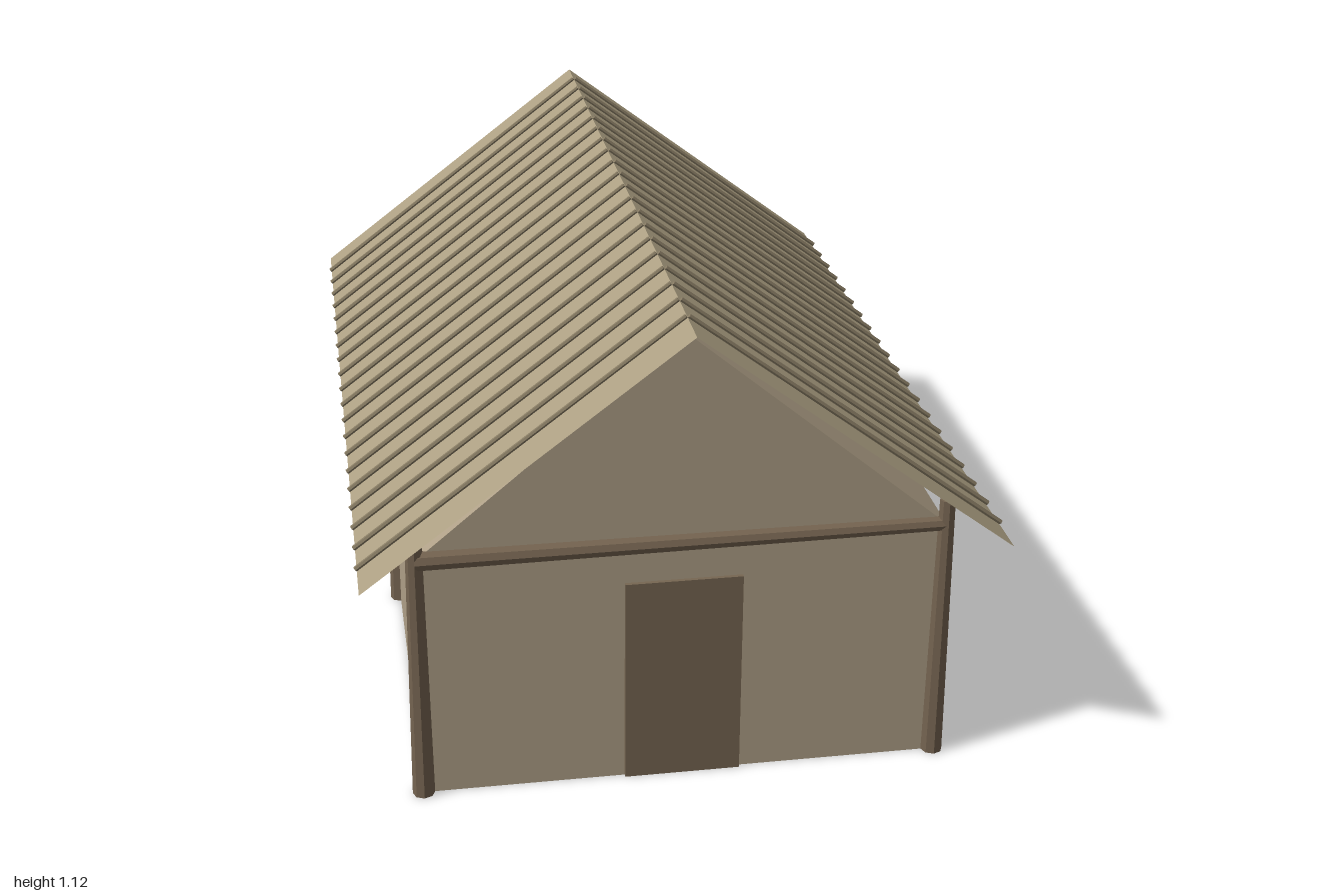
import * as THREE from 'three';

export function createModel() {
  const mat = (name, color, opts = {}) => {
    const m = new THREE.MeshStandardMaterial({ color, flatShading: true, ...opts });
    m.name = name;
    return m;
  };
  const clay = mat('clay wall', 0xafa087);
  const thatch = mat('thatch', 0xac9f82, { side: THREE.DoubleSide });
  const timber = mat('dark timber', 0x746350);
  const reed = mat('reed', 0x877b63);
  const doorWood = mat('door wood', 0x776652);

  const W = 0.585, D = 0.892, WALL_TOP = 0.585;
  const house = new THREE.Group();
  house.name = 'house';
  const add = (name, geometry, material, parent = house) => {
    const mesh = new THREE.Mesh(geometry, material);
    mesh.name = name;
    parent.add(mesh);
    return mesh;
  };

  // Walls with both gables
  const outline = new THREE.Shape([[-W, 0], [W, 0], [W, WALL_TOP], [0, 1.075], [-W, WALL_TOP]]
    .map(([x, y]) => new THREE.Vector2(x, y)));
  const walls = new THREE.ExtrudeGeometry(outline, { depth: 2 * D, bevelEnabled: false });
  add('walls', walls.translate(0, 0, -D), clay);

  // Door on the front
  add('door', new THREE.BoxGeometry(0.262, 0.495, 0.009), doorWood).position.set(0, 0.2475, D + 0.0045);

  // Tapered posts at the corners and the middle of each side
  for (const x of [-W, W]) {
    for (const z of [-D, 0, D]) {
      add('post', new THREE.CylinderGeometry(0.018, 0.025, 0.645, 8), timber).position.set(x, 0.3225, z);
    }
  }

  // Cross beams below the gables
  for (const z of [-D, D]) {
    const beam = add('crossBeam', new THREE.CylinderGeometry(0.017, 0.022, 2 * W, 8), timber);
    beam.rotation.z = -Math.PI / 2;
    beam.position.set(0, WALL_TOP + 0.001, z);
  }

  // Roof slopes, each with a row of reed ribs lying on top
  const run = 0.706, ridge = 1.11, eave = 0.574;
  const slope = Math.hypot(run, ridge - eave);
  const pitch = Math.atan2(ridge - eave, run);
  for (const side of [-1, 1]) {
    const half = new THREE.Group();
    half.name = side > 0 ? 'leftRoof' : 'rightRoof';
    half.position.set(side * run / 2, (ridge + eave) / 2, 0);
    half.rotation.z = -side * pitch;
    house.add(half);
    add('roofSheet', new THREE.PlaneGeometry(slope, 2).rotateX(-Math.PI / 2), thatch, half);
    for (let i = 0; i < 20; i++) {
      const rib = add('roofRib', new THREE.CylinderGeometry(0.005, 0.006, slope, 6), reed, half);
      rib.rotation.z = side * Math.PI / 2;
      rib.position.set(0, 0.005, (i - 9.5) * 0.0939);
    }
  }
  return house;
}
